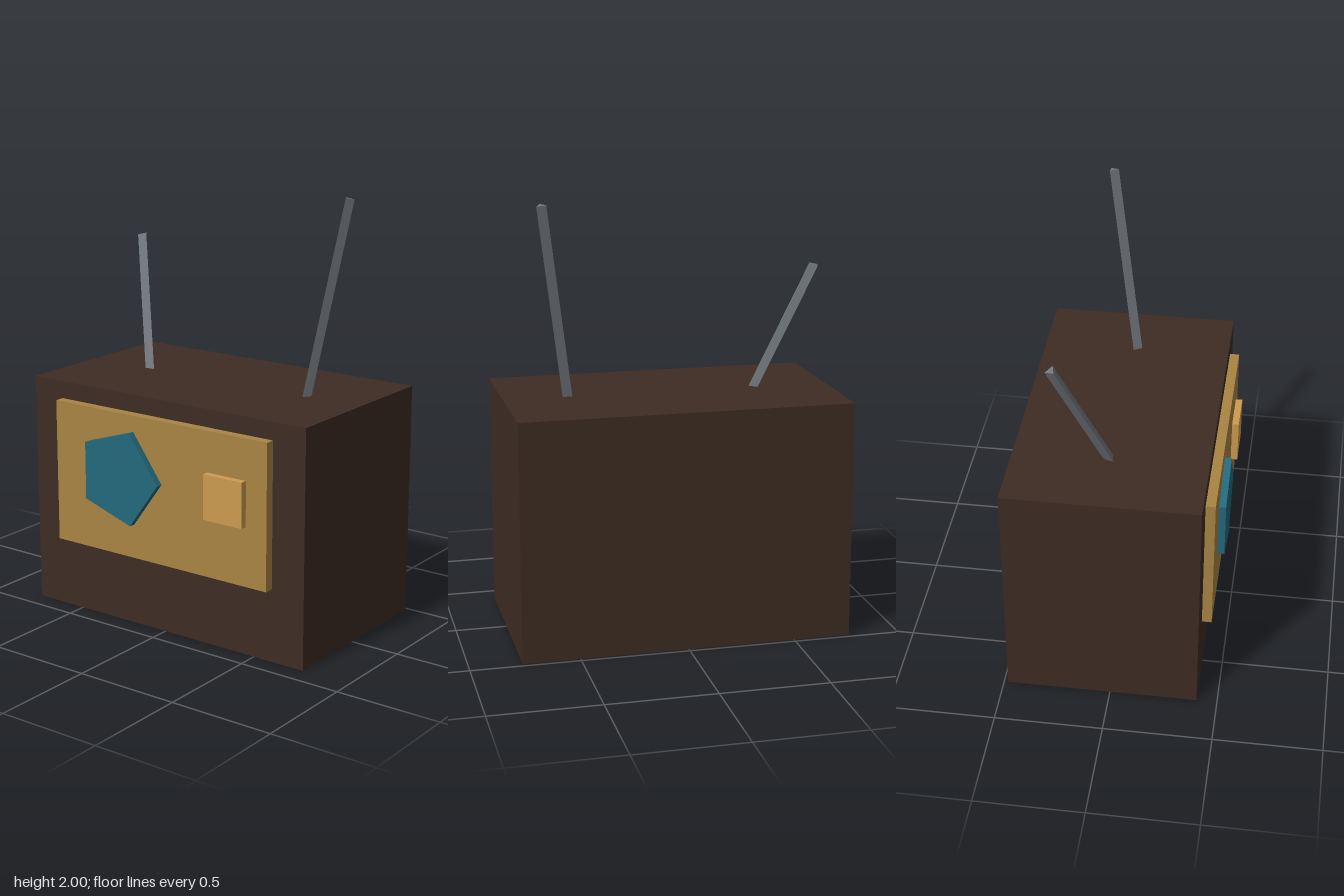
import * as THREE from 'three';

const material = (name, color) => {
  const m = new THREE.MeshStandardMaterial({ color, flatShading: true });
  m.name = name;
  return m;
};

export function createModel() {
  const group = new THREE.Group();
  const brown = material('dark brown', 0x3e2c23);
  const ochre = material('ochre', 0xa98442);
  const teal = material('teal', 0x23697c);
  const tan = material('tan', 0xcd9b50);
  const grey = material('steel grey', 0x6f757b);

  const add = (name, geometry, mat) => {
    const mesh = new THREE.Mesh(geometry, mat);
    mesh.name = name;
    group.add(mesh);
    return mesh;
  };

  // Box between two corners
  const box = (name, mat, [x0, y0, z0], [x1, y1, z1]) => {
    const mesh = add(name, new THREE.BoxGeometry(x1 - x0, y1 - y0, z1 - z0), mat);
    mesh.position.set((x0 + x1) / 2, (y0 + y1) / 2, (z0 + z1) / 2);
  };

  box('cabinet', brown, [-0.765, 0, -0.48], [0.762, 1.105, 0.405]);
  box('frontPanel', ochre, [-0.6, 0.342, 0.405], [0.594, 1.022, 0.45]);
  box('squareButton', tan, [0.275, 0.62, 0.45], [0.484, 0.831, 0.482]);

  // Five-sided dial with one corner towards +x
  const dialShape = new THREE.CylinderGeometry(0.232, 0.232, 0.032, 5, 1, false, Math.PI / 2);
  dialShape.rotateX(Math.PI / 2);
  add('dial', dialShape, teal).position.set(-0.213, 0.725, 0.466);

  // Three-sided rods leaning outwards and back
  const antenna = (name, base, tip, turn) => {
    const a = new THREE.Vector3(...base);
    const b = new THREE.Vector3(...tip);
    const axis = b.clone().sub(a);
    const rod = new THREE.CylinderGeometry(0.026, 0.026, axis.length(), 3, 1, false, turn);
    const mesh = add(name, rod, grey);
    mesh.position.copy(a).add(b).multiplyScalar(0.5);
    mesh.quaternion.setFromUnitVectors(new THREE.Vector3(0, 1, 0), axis.normalize());
  };
  antenna('rightAntenna', [-0.418, 1.085, -0.033], [-0.636, 1.703, -0.256], Math.PI + 0.2);
  antenna('leftAntenna', [0.463, 1.085, -0.036], [0.594, 1.996, -0.167], 0);

  return group;
}
